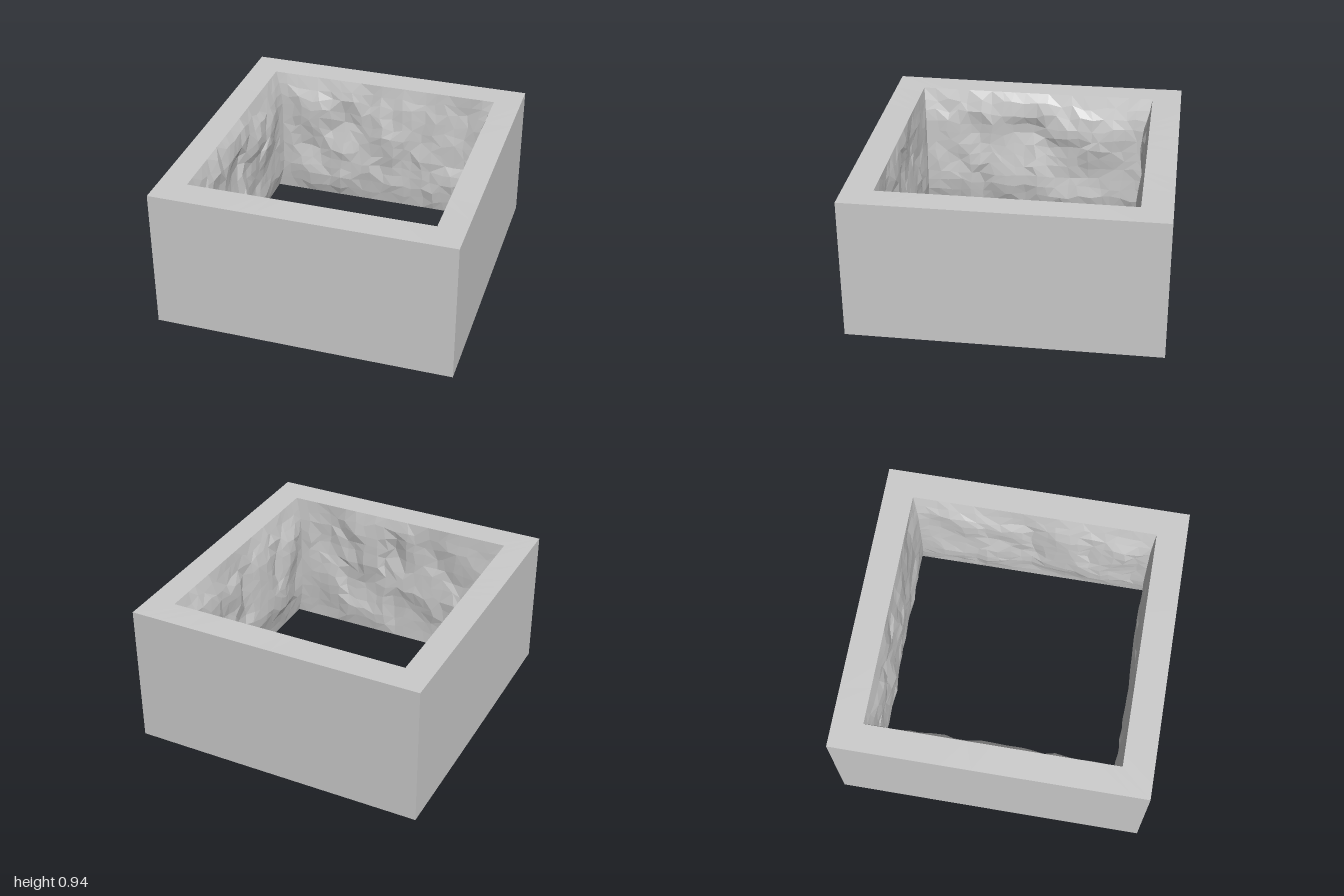
import * as THREE from 'three';

const TOP = 0.942, BOTTOM = 0.007;
const COLS = 20, ROWS = 12; // cells along and up each inner wall
const NORMALS = [[0, 1], [1, 0], [0, -1], [-1, 0]]; // front, left, back, right
const BULGE = [0.016, 0.04, 0.028, 0.052]; // mean inward swelling of each wall

// Repeatable hash in 0..1 and smooth value noise built on it
function hash(a, b, c) {
  const s = Math.sin(a * 127.1 + b * 311.7 + c * 74.7) * 43758.5453;
  return s - Math.floor(s);
}
function noise(x, y, seed) {
  const i = Math.floor(x), j = Math.floor(y);
  const f = THREE.MathUtils.smoothstep(x - i, 0, 1), g = THREE.MathUtils.smoothstep(y - j, 0, 1);
  const { lerp } = THREE.MathUtils;
  return lerp(lerp(hash(i, j, seed), hash(i + 1, j, seed), f),
    lerp(hash(i, j + 1, seed), hash(i + 1, j + 1, seed), f), g);
}

// Slight unevenness of the rims
const wave = (x, z) => 0.003 * Math.sin(2.3 * x + 1) * Math.cos(1.9 * z) - 0.001 * x;

// Closed rectangular loop at height y; rough(side, col) gives the rock offsets
function ring(halfX, halfZ, y, rough) {
  const points = [];
  NORMALS.forEach(([nx, nz], side) => {
    const out = nx ? halfX : halfZ, along = nx ? halfZ : halfX;
    for (let col = 0; col < COLS; col++) {
      const u = -1 + 2 * col / COLS;
      const r = rough ? rough(side, col) : { inward: 0, start: 0, end: 0, slide: 0, lift: 0 };
      const n = out - r.inward;
      const t = u * along + r.start * (1 - u) / 2 - r.end * (1 + u) / 2 + r.slide;
      const x = nx * n + nz * t, z = nz * n - nx * t;
      points.push([x, y + r.lift + wave(x, z), z]);
    }
  });
  return points;
}

// Skin a stack of loops, alternating the diagonals
function skin(name, rings, material) {
  const count = rings[0].length, index = [];
  for (let r = 0; r < rings.length - 1; r++) {
    for (let i = 0; i < count; i++) {
      const j = (i + 1) % count;
      const a = r * count + i, b = r * count + j, c = b + count, d = a + count;
      if (hash(i, r, 9) > 0.5) index.push(a, b, c, a, c, d);
      else index.push(a, b, d, b, c, d);
    }
  }
  const geometry = new THREE.BufferGeometry();
  geometry.setAttribute('position', new THREE.Float32BufferAttribute(rings.flat(2), 3));
  geometry.setIndex(index);
  geometry.computeVertexNormals();
  const mesh = new THREE.Mesh(geometry, material);
  mesh.name = name;
  return mesh;
}

// Loop of the rough inner wall at fraction v, from the top (0) to the bottom (1)
function innerRing(v, row) {
  const swell = Math.min(1, 6 * v * (1 - v));
  const pinned = row === 0 || row === ROWS;
  return ring(0.787, 0.805, THREE.MathUtils.lerp(TOP, BOTTOM, v), (side, col) => {
    const corner = col === 0;
    const fade = corner ? 0 : Math.min(1, Math.min(col, COLS - col) / 2);
    const lumps = noise(col * 0.3, v * 3, side + 1) - 0.5;
    const chips = noise(col * 0.8, v * 7, side + 11) - 0.5;
    const jitter = (k) => pinned || corner ? 0 : hash(col + side * 40, row, k) - 0.5;
    return {
      inward: swell * (BULGE[side] + fade * (0.065 * lumps + 0.035 * chips)),
      start: swell * BULGE[(side + 3) % 4],
      end: swell * BULGE[(side + 1) % 4],
      slide: 0.04 * jitter(21),
      lift: 0.04 * jitter(22),
    };
  });
}

export function createModel() {
  const group = new THREE.Group();
  group.name = 'squareStoneFrame';
  const material = new THREE.MeshStandardMaterial({ color: 0xcccccc, flatShading: true });

  const outerBottom = ring(0.966, 1, BOTTOM);
  const outerTop = ring(0.966, 1, TOP);
  const inner = Array.from({ length: ROWS + 1 }, (_, row) => innerRing(row / ROWS, row));

  group.add(
    skin('outerWalls', [outerBottom, outerTop], material),
    skin('topRim', [outerTop, inner[0]], material),
    skin('roughInnerWalls', inner, material),
    skin('bottomRim', [inner[ROWS], outerBottom], material),
  );
  return group;
}
